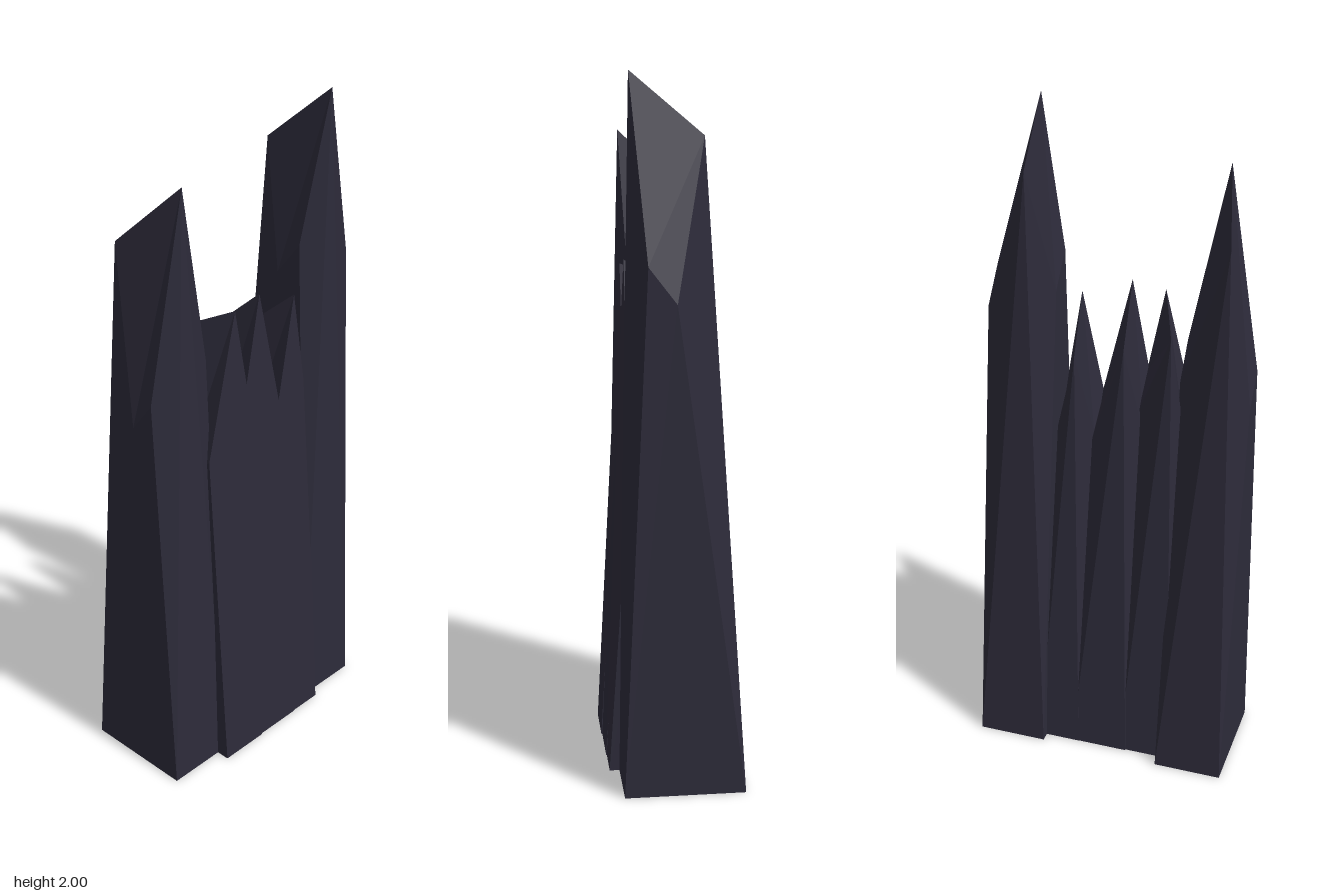
import * as THREE from 'three';

const stone = new THREE.MeshStandardMaterial({ color: 0x2d2b3a });
stone.name = 'dark slate';

// One faceted spire: rectangular base, two shoulders per side, sloping top ridge.
// Shoulders are [height, z] pairs; peaks are [x, y, z].
function spire(name, { x: [x0, x1], z: [back, front], left, right, peakFront, peakBack }) {
  const p = {
    FL: [x0, 0, front], FR: [x1, 0, front], BL: [x0, 0, back], BR: [x1, 0, back],
    LF: [x0, ...left[0]], LB: [x0, ...left[1]],
    RF: [x1, ...right[0]], RB: [x1, ...right[1]],
    PF: peakFront, PB: peakBack,
  };
  const faces = [
    'FL FR PF', 'FR RF PF', 'FL PF LF',       // front
    'BR BL PB', 'BR PB RB', 'BL LB PB',       // back
    'FR BR RB RF', 'BL FL LF LB',             // sides
    'RF RB PB PF', 'LB LF PF PB',             // roof slopes
    'BL BR FR FL',                            // underside
  ];
  const pos = [];
  for (const face of faces) {
    const c = face.split(' ').map((k) => p[k]);
    for (let i = 1; i < c.length - 1; i++) pos.push(...c[0], ...c[i], ...c[i + 1]);
  }
  const geo = new THREE.BufferGeometry();
  geo.setAttribute('position', new THREE.Float32BufferAttribute(pos, 3));
  geo.computeVertexNormals();
  const mesh = new THREE.Mesh(geo, stone);
  mesh.name = name;
  return mesh;
}

export function createModel() {
  const group = new THREE.Group();
  group.name = 'spireCluster';
  group.add(
    // tall outer spires
    spire('rightTallSpire', {
      x: [-0.397, -0.19], z: [-0.193, 0.15],
      left: [[1.26, 0.083], [1.17, 0.01]], right: [[1.33, 0.085], [1.23, 0.01]],
      peakFront: [-0.295, 1.85, 0.11], peakBack: [-0.348, 1.67, -0.09],
    }),
    spire('leftTallSpire', {
      x: [0.183, 0.395], z: [-0.188, 0.157],
      left: [[1.56, 0.09], [1.46, 0.01]], right: [[1.49, 0.088], [1.39, 0.01]],
      peakFront: [0.26, 2, 0.127], peakBack: [0.235, 1.83, -0.083],
    }),
    // short inner spires
    spire('rightShortSpire', {
      x: [-0.217, -0.058], z: [-0.153, 0.191],
      left: [[1.03, 0.122], [0.96, 0.02]], right: [[1.2, 0.119], [1.1, 0.02]],
      peakFront: [-0.112, 1.46, 0.121], peakBack: [-0.178, 1.38, -0.052],
    }),
    spire('middleShortSpire', {
      x: [-0.081, 0.098], z: [-0.157, 0.188],
      left: [[1.12, 0.119], [1.03, 0.02]], right: [[1.04, 0.115], [0.95, 0.02]],
      peakFront: [-0.012, 1.48, 0.118], peakBack: [-0.04, 1.33, -0.055],
    }),
    spire('leftShortSpire', {
      x: [0.075, 0.208], z: [-0.158, 0.186],
      left: [[1.11, 0.117], [1.02, 0.02]], right: [[1.04, 0.113], [0.95, 0.02]],
      peakFront: [0.14, 1.43, 0.112], peakBack: [0.108, 1.29, -0.056],
    }),
  );
  return group;
}
